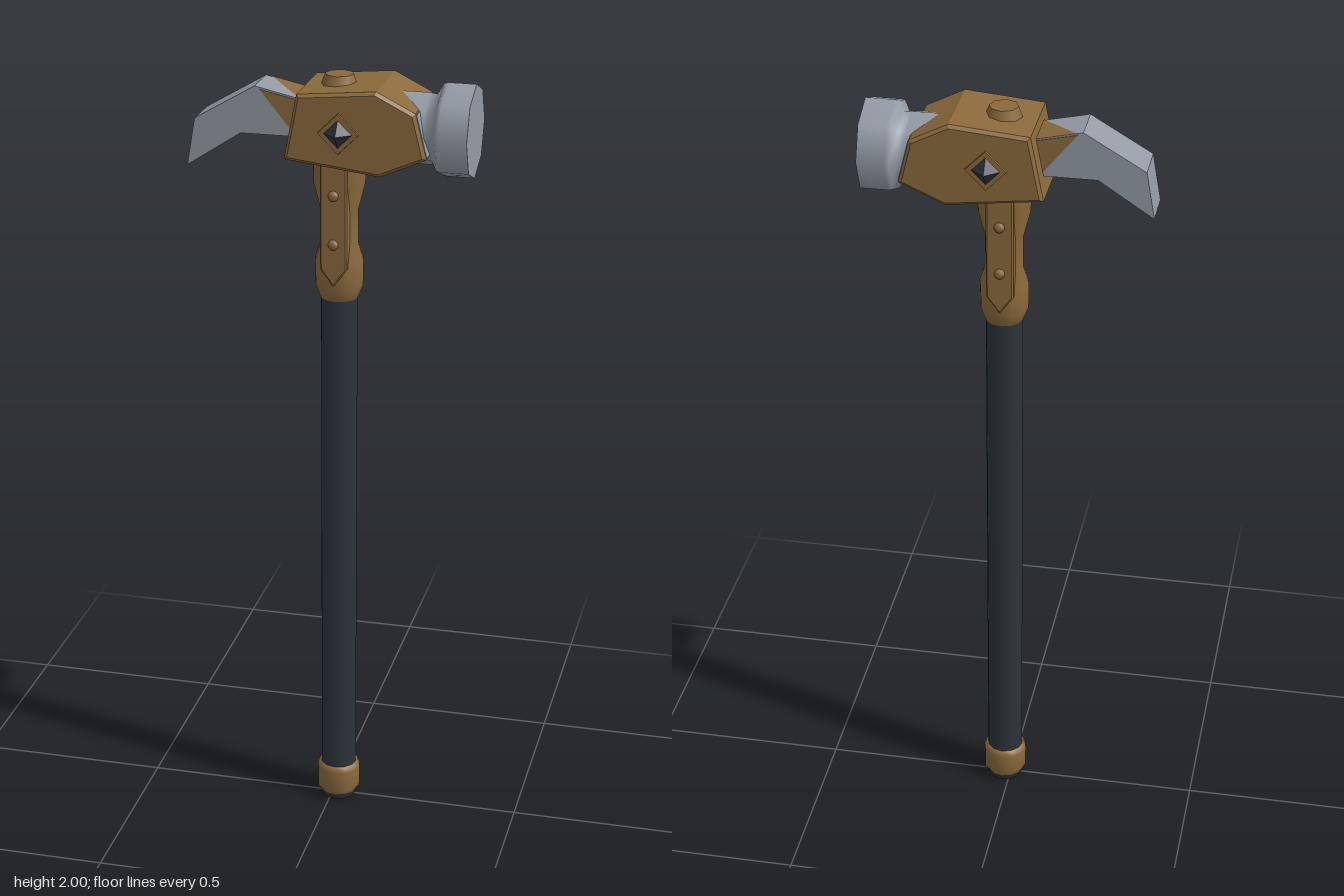
import * as THREE from 'three';

const mat = (name, color) => Object.assign(new THREE.MeshStandardMaterial({ color }), { name });

export function createModel() {
  const brass = mat('bronze', 0x8b6a3c);
  const steel = mat('steel', 0x939ba5);
  const dark = mat('dark grip', 0x2b343b);
  const root = new THREE.Group();
  root.name = 'hammer';
  const axisX = 0.016; // handle axis
  const headY = 1.877;

  const add = (name, geo, material, x = 0, y = 0, z = 0) => {
    const m = new THREE.Mesh(geo, material);
    m.name = name;
    m.position.set(x, y, z);
    root.add(m);
    return m;
  };
  // Profile in x/y, extruded symmetrically about z = 0 with a small bevel
  const slab = (pts, half, bevel = 0) => {
    const shape = new THREE.Shape(pts.map(p => new THREE.Vector2(...p)));
    const g = new THREE.ExtrudeGeometry(shape, {
      depth: 2 * (half - bevel), bevelEnabled: bevel > 0, bevelSize: bevel,
      bevelOffset: -bevel, bevelThickness: bevel, bevelSegments: 1,
    });
    return g.translate(0, 0, -(half - bevel));
  };
  const lathe = (pts, sides) =>
    new THREE.LatheGeometry(pts.map(p => new THREE.Vector2(...p)), sides);

  // Grip, pommel and its underside
  add('grip', new THREE.CylinderGeometry(0.047, 0.047, 1.37, 12), dark, axisX, 0.765);
  add('pommel', lathe([[0.046, 0.012], [0.057, 0.028], [0.058, 0.085], [0.052, 0.1], [0.044, 0.1]], 12), brass, axisX);
  add('pommelBase', new THREE.CylinderGeometry(0.05, 0.044, 0.02, 12), dark, axisX, 0.01);

  // Waisted collar between grip and head
  add('collar', lathe([
    [0.044, 1.43], [0.048, 1.43], [0.061, 1.465], [0.062, 1.53], [0.048, 1.575],
    [0.048, 1.66], [0.066, 1.73], [0.068, 1.82],
  ], 12), brass, axisX);

  // Pointed strap on both faces of the collar
  add('straps', slab([
    [-0.034, 1.82], [-0.034, 1.52], [0, 1.475], [0.034, 1.52], [0.034, 1.82],
  ], 0.067, 0.004), brass, axisX);

  // Head block
  add('headBlock', slab([
    [-0.098, 1.807], [0.14, 1.778], [0.254, 1.828], [0.226, 1.94], [0.13, 1.988], [-0.066, 1.97],
  ], 0.111, 0.008), brass);
  const dx = 0.028, dy = 0.112;
  const plate = add('strikingSidePlate',
    new THREE.BoxGeometry(0.004, Math.hypot(dx, dy) - 0.008, 0.206), steel, 0.24, 1.884);
  plate.rotation.z = Math.atan2(dx, dy);

  // Handle end rising through the head
  add('topKnob', new THREE.CylinderGeometry(0.036, 0.05, 0.04, 8), brass, axisX, 1.98);

  // Octagonal neck and striking face
  const poll = lathe([
    [0.09, 0.15], [0.09, 0.24], [0.087, 0.258], [0.115, 0.274], [0.117, 0.285], [0.117, 0.353],
  ], 8);
  add('strikingPoll', poll.rotateZ(-Math.PI / 2), steel, 0, headY);
  const face = new THREE.CircleGeometry(0.117, 8).rotateY(Math.PI / 2);
  add('strikingFace', face, steel, 0.353, headY);

  // Bent claw
  add('claw', slab([
    [-0.357, 1.76], [-0.22, 1.85], [-0.07, 1.85], [-0.07, 1.945], [-0.183, 1.97], [-0.336, 1.88],
  ], 0.054), steel);

  // Bronze wedges painted on the claw root: both sides and the top
  const sideWedge = [[-0.17, 1.966], [-0.083, 1.858], [-0.07, 1.944]];
  add('clawSideWedges', slab(sideWedge, 0.056), brass);
  const top = new THREE.BufferGeometry();
  const topY = x => 1.971 - (x + 0.183) * 0.221;
  top.setAttribute('position', new THREE.Float32BufferAttribute([
    -0.168, topY(-0.168), -0.056, -0.07, topY(-0.07), 0.056, -0.07, topY(-0.07), -0.056,
  ], 3));
  top.computeVertexNormals();
  // The side wedge is kept just below the claw top so the diagonal stays clean
  root.getObjectByName('clawSideWedges').position.y = -0.003;
  add('clawTopWedge', top, brass);

  // Mirrored details on front and back
  for (const s of [1, -1]) {
    for (const y of [1.71, 1.585]) {
      const rivet = add('rivet', new THREE.SphereGeometry(0.014, 8, 6), brass, axisX, y, s * 0.066);
      rivet.scale.z = 0.85;
    }
    const mount = add('gemMount', new THREE.CylinderGeometry(0.05, 0.052, 0.012, 4).rotateX(s * Math.PI / 2),
      brass, 0.039, 1.881, s * 0.111);
    mount.geometry = mount.geometry.toNonIndexed();
    mount.geometry.computeVertexNormals();
    const gem = new THREE.ConeGeometry(0.037, 0.03, 4).rotateX(s * Math.PI / 2).toNonIndexed();
    gem.computeVertexNormals();
    add('gem', gem, dark, 0.039, 1.881, s * 0.13);
  }
  return root;
}
